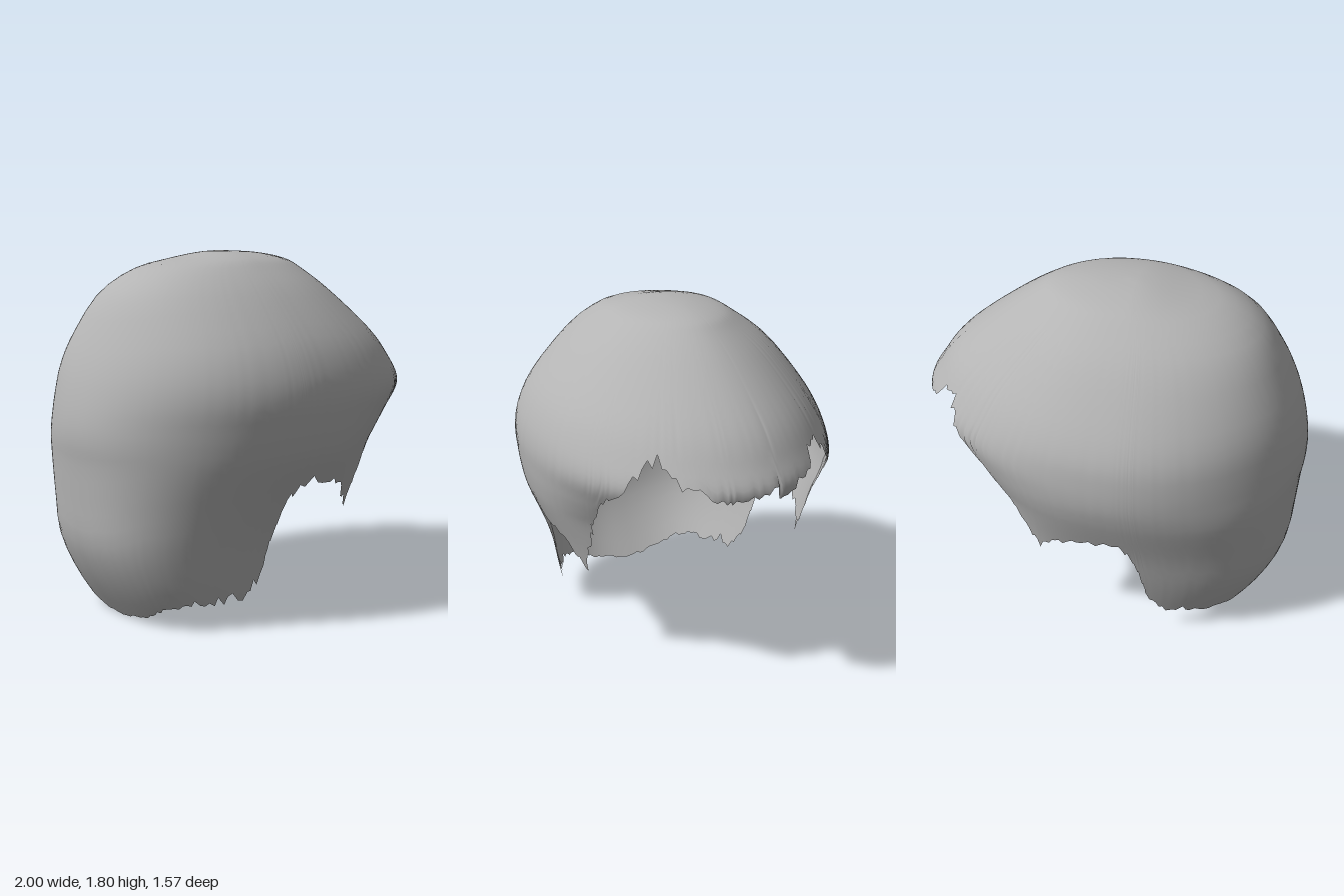
import * as THREE from 'three';
import { mergeVertices } from 'three/addons/utils/BufferGeometryUtils.js';

const CENTRE_X = -0.1;
const ROWS = 36;

// Horizontal sections from crown to nape: height, back reach, front reach, left and right half widths
const SECTIONS = [
  [1.81, 0, 0, 0, 0], [1.8, 0.1, 0.23, 0.12, 0.12], [1.77, 0.25, 0.4, 0.25, 0.25],
  [1.72, 0.47, 0.5, 0.34, 0.34], [1.6, 0.65, 0.67, 0.49, 0.5], [1.4, 0.77, 0.91, 0.67, 0.66],
  [1.25, 0.835, 1.03, 0.755, 0.745], [1.12, 0.87, 1.1, 0.785, 0.775], [1.0, 0.89, 0.99, 0.775, 0.785],
  [0.9, 0.895, 0.9, 0.755, 0.775], [0.8, 0.89, 0.84, 0.725, 0.75], [0.6, 0.885, 0.84, 0.645, 0.685],
  [0.4, 0.87, 0.84, 0.585, 0.635], [0.2, 0.78, 0.8, 0.555, 0.58], [0, 0.64, 0.7, 0.51, 0.52],
  [-0.1, 0.56, 0.6, 0.48, 0.48],
];

// Hairline as angle from the forehead and height: fringe, temple, side lock, ear cut, nape
const HEM = [
  [0, 1.14], [0.15, 1.13], [0.2, 1.08], [0.32, 1.14], [0.45, 1.19], [0.57, 1.28], [0.68, 1.2],
  [0.83, 1.06], [0.91, 0.9], [0.96, 0.8], [1.07, 0.65], [1.18, 0.53], [1.33, 0.64], [1.45, 0.69],
  [1.65, 0.72], [1.7, 0.62], [1.74, 0.42], [1.76, 0.28], [1.87, 0.16], [2.33, 0.14], [2.6, 0.11],
  [2.85, 0.05], [Math.PI, 0.01],
];

const [backCurve, frontCurve] = [1, 2].map((k) => new THREE.CatmullRomCurve3(
  SECTIONS.map((s) => new THREE.Vector3(s[k], s[0], 0)), false, 'catmullrom', 0.5));
const [leftCurve, rightCurve] = [3, 4].map((k) => new THREE.CatmullRomCurve3(
  SECTIONS.map((s) => new THREE.Vector3(0, s[0], s[k])), false, 'catmullrom', 0.5));

function seeded(seed) {
  return () => (seed = (seed * 16807) % 2147483647) / 2147483647;
}

// Curve position at which the sections reach a given height
function findHeight(y) {
  let low = 0, high = 1;
  for (let i = 0; i < 24; i++) {
    const mid = (low + high) / 2;
    if (backCurve.getPoint(mid).y > y) low = mid; else high = mid;
  }
  return low;
}

// Walk along the hairline in small steps with ragged ends
function walkHem(random) {
  const out = [];
  for (let i = 0; i < HEM.length - 1; i++) {
    const [t0, y0] = HEM[i], [t1, y1] = HEM[i + 1];
    const steps = Math.ceil(Math.hypot((t1 - t0) * 0.75, y1 - y0) / 0.03);
    const ragged = t0 > 2.2 ? 0.015 : 0.06;
    for (let s = 0; s < steps; s++) {
      const k = s / steps;
      out.push([t0 + (t1 - t0) * k, y0 + (y1 - y0) * k + (random() - 0.5) * ragged]);
    }
  }
  return out;
}

function surfacePoint(t, u) {
  const c = Math.cos(t), s = Math.sin(t);
  const { x: backReach, y } = backCurve.getPoint(u);
  const reach = c > 0 ? frontCurve.getPoint(u).x : backReach;
  const width = (s > 0 ? leftCurve : rightCurve).getPoint(u).z;
  // The back gets squarer towards the nape, the front stays slightly pointed
  const squareness = 2.1 + 0.5 * THREE.MathUtils.clamp(1 - y, 0, 1);
  const power = 2 / THREE.MathUtils.lerp(squareness, 1.92, THREE.MathUtils.smoothstep(c, 0, 0.9));
  // Soft uneven waves, fading towards the crown
  const wave = 1 + 0.005 * Math.min(1, u * 3) * (Math.sin(5 * t + 9 * u) + Math.sin(3 * t - 14 * u));
  return [
    CENTRE_X + Math.sign(c) * reach * Math.abs(c) ** power * wave,
    y,
    Math.sign(s) * width * Math.abs(s) ** power * wave,
  ];
}

function hairShell() {
  const random = seeded(421);
  const left = walkHem(random);
  const right = walkHem(random).slice(1).reverse().map(([t, y]) => [2 * Math.PI - t, y]);
  const columns = [...left, [Math.PI, 0.01], ...right];
  const positions = [], index = [];
  const stride = ROWS + 1;
  columns.forEach(([t, hemY], c) => {
    const end = findHeight(hemY);
    const next = (c + 1) % columns.length;
    for (let r = 0; r <= ROWS; r++) {
      positions.push(...surfacePoint(t, end * r / ROWS));
      if (r === ROWS) continue;
      const a = c * stride + r, b = next * stride + r;
      if (r > 0) index.push(a, b, a + 1);
      index.push(b, b + 1, a + 1);
    }
  });
  const geometry = new THREE.BufferGeometry();
  geometry.setAttribute('position', new THREE.Float32BufferAttribute(positions, 3));
  geometry.setIndex(index);
  const welded = mergeVertices(geometry, 1e-5);
  welded.computeVertexNormals();
  return welded;
}

export function createModel() {
  const group = new THREE.Group();
  group.name = 'hairpiece';
  const hairGrey = new THREE.MeshStandardMaterial({ color: 0xb4b4b4, side: THREE.DoubleSide });
  hairGrey.name = 'hair grey';
  const hair = new THREE.Mesh(hairShell(), hairGrey);
  hair.name = 'hairShell';
  group.add(hair);
  return group;
}
